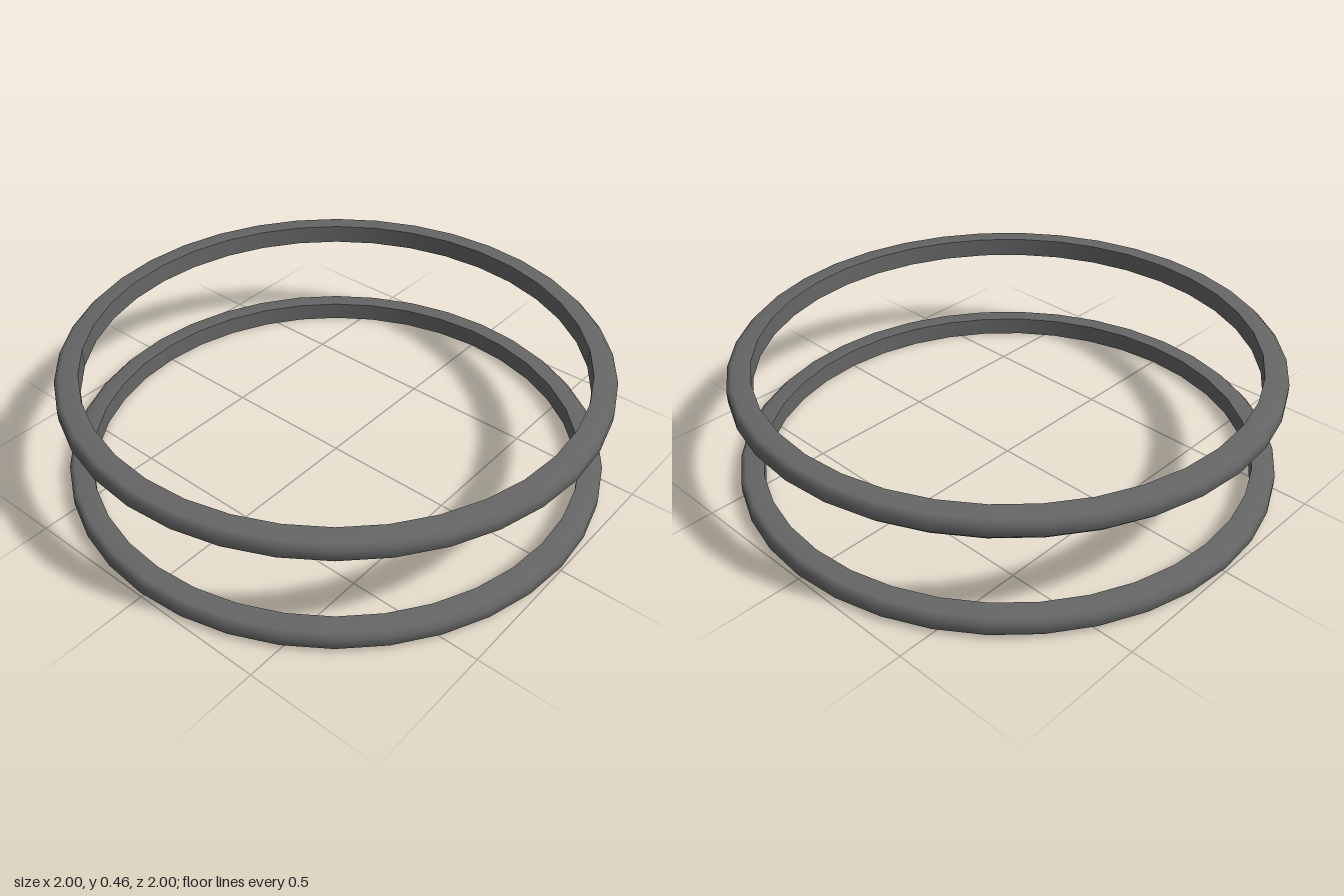
import * as THREE from 'three';

const SIDES = 36;
const INNER = 0.915, OUTER = 1, HEIGHT = 0.073, BEVEL = 0.018;

const lathe = (points, material, name) => {
  const mesh = new THREE.Mesh(
    new THREE.LatheGeometry(points.map(([r, y]) => new THREE.Vector2(r, y)), SIDES), material);
  mesh.name = name;
  return mesh;
};

// One hoop: flat inner wall with crisp corners, softly bevelled outside
function createRing(name, y, material) {
  const ring = new THREE.Group();
  ring.name = name;
  ring.position.y = y;
  ring.add(
    lathe([
      [INNER, 0], [OUTER - BEVEL, 0], [OUTER, BEVEL],
      [OUTER, HEIGHT - BEVEL], [OUTER - BEVEL, HEIGHT], [INNER, HEIGHT],
    ], material, 'outerShell'),
    lathe([[INNER, HEIGHT], [INNER, 0]], material, 'innerWall'),
  );
  return ring;
}

export function createModel() {
  const model = new THREE.Group();
  model.name = 'ringPair';
  const material = new THREE.MeshStandardMaterial({ color: 0x666666 });
  model.add(
    createRing('lowerRing', 0, material),
    createRing('upperRing', 0.39, material),
  );
  return model;
}
